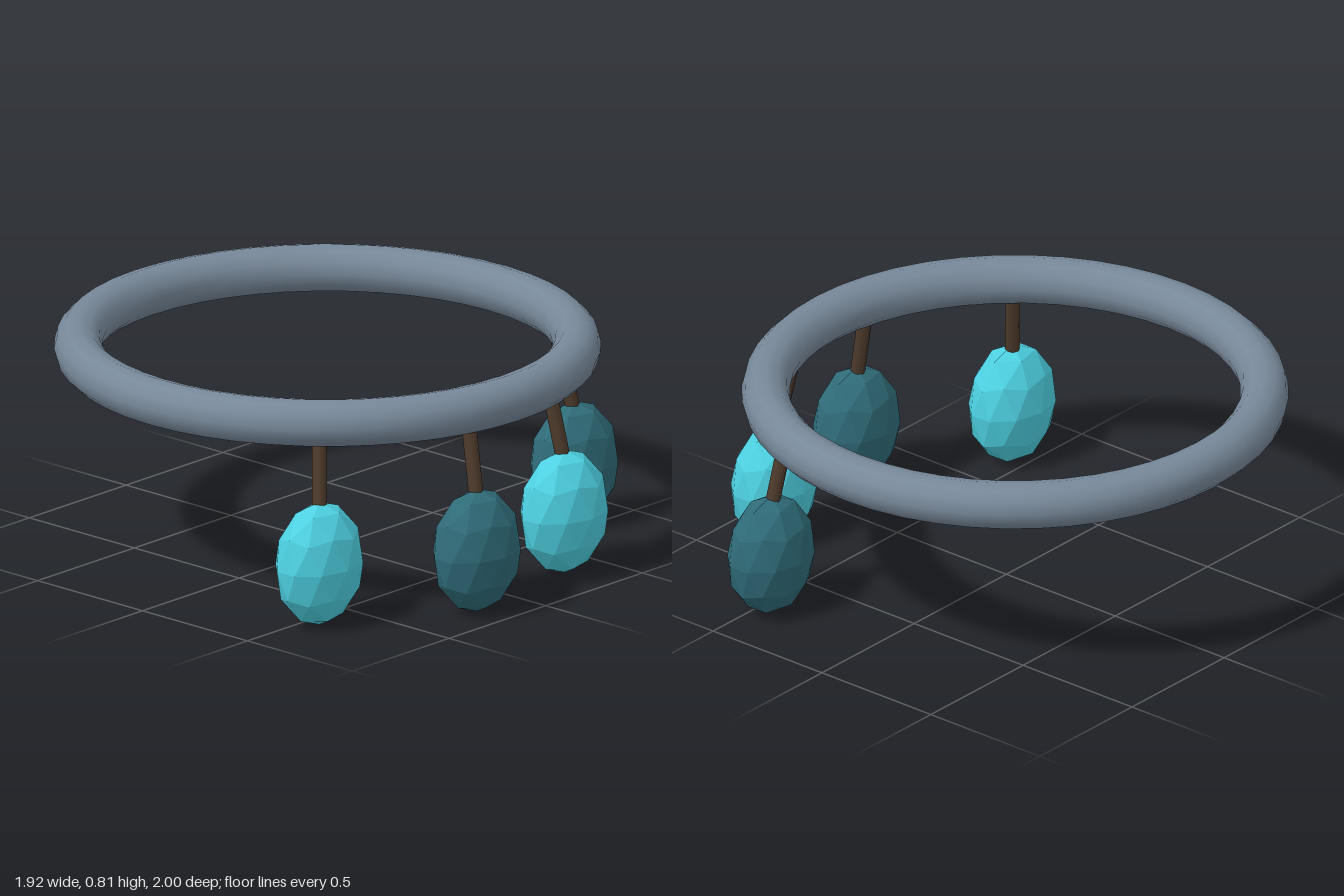
import * as THREE from 'three';

const mat = (color, flatShading = false) => new THREE.MeshStandardMaterial({ color, flatShading });

function part(name, geometry, material, parent) {
  const mesh = new THREE.Mesh(geometry, material);
  mesh.name = name;
  parent.add(mesh);
  return mesh;
}

export function createModel() {
  const model = new THREE.Group();
  model.name = 'ringWithPendants';

  const slate = mat(0x778899);
  const brown = mat(0x4e3b2c);
  const cyan = mat(0x4dd0e1, true);
  const teal = mat(0x2f6b78, true);

  // Horizontal ring
  const ringGeometry = new THREE.TorusGeometry(0.875, 0.085, 12, 48);
  ringGeometry.rotateX(Math.PI / 2);
  part('ring', ringGeometry, slate, model).position.set(0, 0.73, -0.04);

  // Faceted pendant, turned so that a vertex points straight up
  const gem = new THREE.IcosahedronGeometry(1, 1);
  gem.rotateZ(-Math.atan(2 / (1 + Math.sqrt(5))));
  gem.scale(0.183, 0.226, 0.136);

  // Pendant centre [x, z] and the point [x, z] where its stem meets the ring's underside
  const pendants = [
    { centre: [-0.693, 0.56], hook: [-0.655, 0.525], color: cyan },
    { centre: [-0.209, 0.865], hook: [-0.197, 0.82], color: teal },
    { centre: [0.321, 0.793], hook: [0.302, 0.745], color: cyan },
    { centre: [0.748, 0.447], hook: [0.703, 0.423], color: teal },
  ];
  const up = new THREE.Vector3(0, 1, 0);

  pendants.forEach(({ centre, hook, color }, i) => {
    const group = new THREE.Group();
    group.name = `pendant${i + 1}`;
    model.add(group);
    part('drop', gem, color, group).position.set(centre[0], 0.226, centre[1]);

    // Slanted stem, sunk into both the ring and the drop
    const low = new THREE.Vector3(centre[0], 0.4, centre[1]);
    const high = new THREE.Vector3(hook[0], 0.64, hook[1]);
    const dir = high.clone().sub(low).normalize();
    high.addScaledVector(dir, 0.06);
    const stem = part('stem', new THREE.CylinderGeometry(0.026, 0.026, low.distanceTo(high), 8), brown, group);
    stem.position.copy(low).add(high).multiplyScalar(0.5);
    stem.quaternion.setFromUnitVectors(up, dir);
  });

  return model;
}
